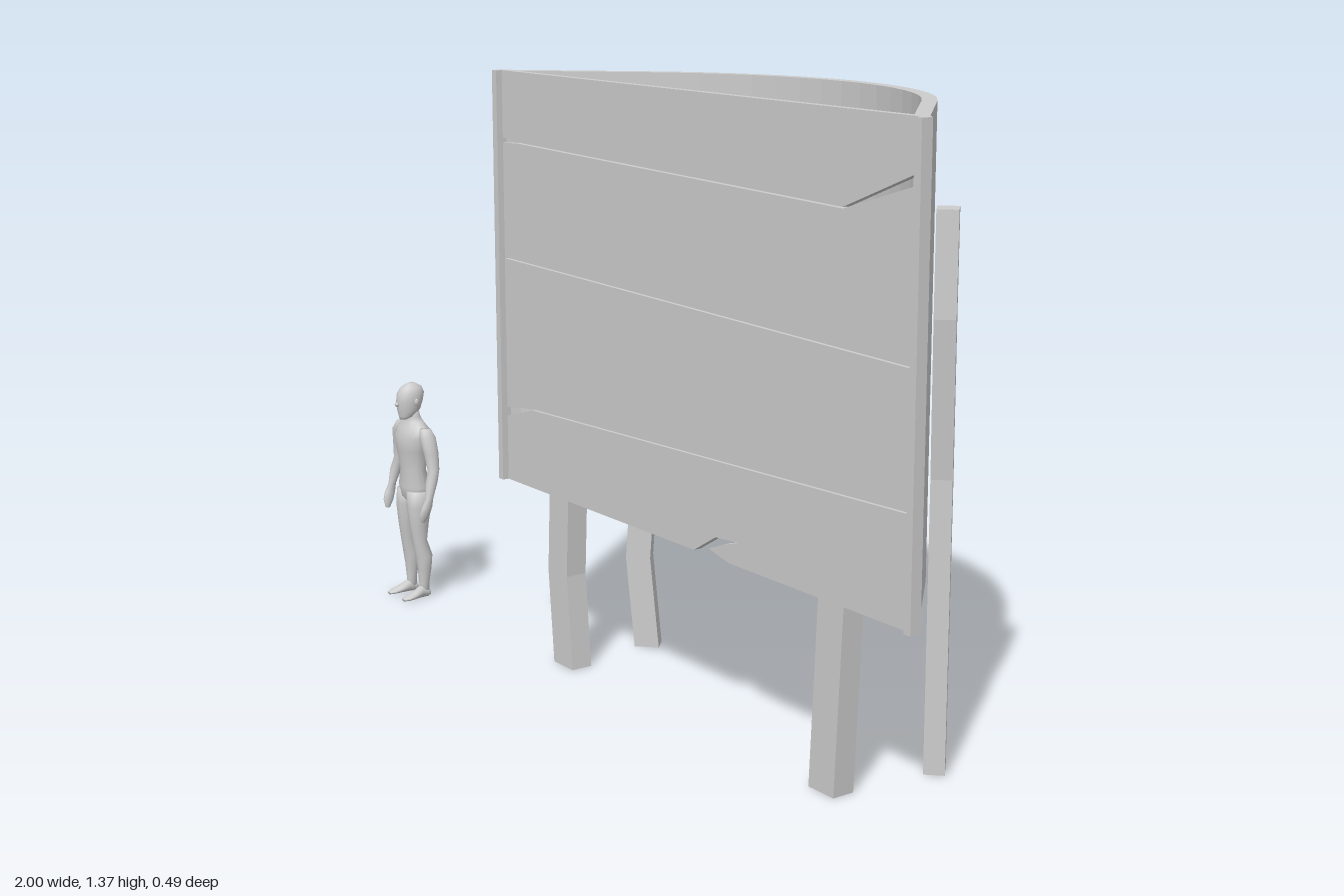
import * as THREE from 'three';

const grey = new THREE.MeshStandardMaterial({ color: 0xcccccc });
const flat = new THREE.MeshStandardMaterial({ color: 0xcccccc, flatShading: true });

function add(parent, name, geometry, material = flat, x = 0, y = 0, z = 0) {
  const mesh = new THREE.Mesh(geometry, material);
  mesh.name = name;
  mesh.position.set(x, y, z);
  parent.add(mesh);
  return mesh;
}

// Smooth body from elliptical rings listed bottom to top: [y, rx, rz, x, z]
function loft(rings, sides = 16) {
  const pos = [], index = [];
  const first = rings[0], last = rings[rings.length - 1];
  const all = [[first[0], 0, 0, first[3], first[4]], ...rings, [last[0], 0, 0, last[3], last[4]]];
  for (const [y, rx, rz, x = 0, z = 0] of all)
    for (let j = 0; j < sides; j++) {
      const a = (j / sides) * Math.PI * 2;
      pos.push(x + rx * Math.cos(a), y, z + rz * Math.sin(a));
    }
  for (let i = 0; i < all.length - 1; i++)
    for (let j = 0; j < sides; j++) {
      const k = (j + 1) % sides;
      const a = i * sides + j, b = i * sides + k, c = a + sides, d = b + sides;
      index.push(a, c, b, b, c, d);
    }
  const g = new THREE.BufferGeometry();
  g.setAttribute('position', new THREE.Float32BufferAttribute(pos, 3));
  g.setIndex(index);
  g.computeVertexNormals();
  return g;
}

// Crooked square post: each row of the box moves to a [height, sideways shift]
function crookedPost(width, depth, rows) {
  const n = rows.length - 1;
  const g = new THREE.BoxGeometry(width, 1, depth, 1, n, 1);
  const p = g.attributes.position;
  for (let i = 0; i < p.count; i++) {
    const [y, shift] = rows[Math.round((p.getY(i) + 0.5) * n)];
    p.setXYZ(i, p.getX(i) + shift, y, p.getZ(i));
  }
  return g;
}

const LOW = 0.41, TOP = 1.365, MID_X = 0.28;

function curvedWall() {
  // Outline on plan: straight wings joined by an arc of a quarter circle
  const cz = 0.427, steps = 16;
  const line = (r, endX, endZ) => {
    const pts = [new THREE.Vector2(MID_X - endX, -endZ)];
    for (let i = 0; i <= steps; i++) {
      const a = -Math.PI / 4 + (i / steps) * Math.PI / 2;
      pts.push(new THREE.Vector2(MID_X + r * Math.sin(a), r * Math.cos(a) - cz));
    }
    pts.push(new THREE.Vector2(MID_X + endX, -endZ));
    return pts;
  };
  const outline = [...line(0.672, 0.712, 0.19), ...line(0.642, 0.664, 0.183).reverse()];
  const g = new THREE.ExtrudeGeometry(new THREE.Shape(outline), { depth: TOP - LOW, bevelEnabled: false });
  return g.rotateX(-Math.PI / 2).translate(0, LOW, 0);
}

// Plank between two edges, both listed left to right
function plank(lower, upper) {
  const pts = [...lower, ...[...upper].reverse()].map(([x, y]) => new THREE.Vector2(x, y));
  return new THREE.ExtrudeGeometry(new THREE.Shape(pts), { depth: 0.018, bevelEnabled: false });
}

function frontBoards() {
  const boards = new THREE.Group();
  boards.name = 'frontBoards';
  const L = -0.428, R = 0.988;
  const edges = [
    // top board, split at its right end
    [[[L, 1.215], [-0.36, 1.207], [0.77, 1.182], [R, 1.27]], [[L, TOP], [R, TOP]]],
    [[[L, 0.938], [R, 0.911]], [[L, 1.2], [-0.36, 1.204], [0.77, 1.179], [R, 1.247]]],
    [[[L, 0.582], [-0.31, 0.598], [R, 0.639]], [[L, 0.935], [R, 0.908]]],
    // bottom board, with a splinter missing from the lower edge
    [[[L, LOW], [0.31, LOW], [0.385, 0.455], [0.46, 0.46], [0.41, 0.445], [0.36, 0.425], [0.43, LOW], [R, LOW]],
      [[L, 0.56], [-0.31, 0.595], [R, 0.636]]],
  ];
  edges.forEach(([lower, upper], i) => add(boards, `board${i + 1}`, plank(lower, upper), flat, 0, 0, 0.18));
  // Narrow strips covering the board ends
  for (const s of [-1, 1])
    add(boards, 'endTrim', new THREE.BoxGeometry(0.018, TOP - LOW, 0.026), flat, MID_X + s * 0.708, (TOP + LOW) / 2, 0.2);
  return boards;
}

function supports() {
  const posts = new THREE.Group();
  posts.name = 'posts';
  add(posts, 'frontRightPost', crookedPost(0.077, 0.052, [[0, 0], [0.22, -0.02], [0.42, -0.01], [1.16, 0.01]]),
    flat, -0.218, 0, 0.156);
  add(posts, 'frontLeftPost', crookedPost(0.077, 0.052, [[0, 0], [0.42, 0.023], [0.8, 0.05], [1.16, 0.083]]),
    flat, 0.712, 0, 0.156);
  // Back posts stand turned against the wings of the wall
  add(posts, 'backRightPost', crookedPost(0.058, 0.044, [[0, 0], [0.22, -0.02], [0.75, 0.014], [1.163, 0]]),
    flat, -0.227, 0, -0.067).rotation.y = Math.PI / 4;
  add(posts, 'backLeftPost', crookedPost(0.058, 0.044, [[0, 0], [0.62, 0], [0.95, 0.045], [1.163, 0.042]]),
    flat, 0.76, 0, -0.081).rotation.y = -Math.PI / 4;
  return posts;
}

function figure() {
  const man = new THREE.Group();
  man.name = 'standingFigure';
  add(man, 'torso', loft([
    [0.25, 0.02, 0.018], [0.262, 0.044, 0.032, 0, -0.004], [0.29, 0.05, 0.037, 0, -0.004], [0.335, 0.041, 0.029],
    [0.385, 0.052, 0.036], [0.42, 0.062, 0.038], [0.443, 0.058, 0.03, 0, -0.004], [0.458, 0.032, 0.022, 0, -0.004],
    [0.47, 0.02, 0.019, 0, -0.002], [0.495, 0.019, 0.02, 0, 0.003],
  ]), grey);
  add(man, 'head', loft([
    [0.465, 0.01, 0.008, 0, 0.025], [0.472, 0.019, 0.018, 0, 0.016], [0.488, 0.025, 0.03, 0, 0.008],
    [0.51, 0.028, 0.035, 0, 0.005], [0.53, 0.028, 0.036, 0, 0.002], [0.545, 0.021, 0.028], [0.555, 0.007, 0.01],
  ]), grey);
  add(man, 'nose', new THREE.SphereGeometry(0.006, 8, 6), grey, 0, 0.504, 0.041);
  for (const s of [-1, 1]) {
    const ear = add(man, 'ear', new THREE.SphereGeometry(0.009, 8, 6), grey, s * 0.028, 0.51, 0);
    ear.scale.set(0.4, 1, 0.7);
    add(man, 'arm', loft([
      [0.215, 0.004, 0.006, s * 0.09, 0.026], [0.235, 0.008, 0.014, s * 0.093, 0.022],
      [0.255, 0.009, 0.014, s * 0.095, 0.016], [0.275, 0.009, 0.01, s * 0.095, 0.009],
      [0.315, 0.014, 0.015, s * 0.091, -0.001], [0.345, 0.014, 0.015, s * 0.086, -0.01],
      [0.385, 0.017, 0.019, s * 0.078, -0.009], [0.425, 0.019, 0.021, s * 0.069, -0.005],
      [0.446, 0.013, 0.014, s * 0.06, -0.004],
    ]), grey);
    add(man, 'leg', loft([
      [0.008, 0.011, 0.014, s * 0.032, -0.006], [0.035, 0.011, 0.013, s * 0.032, -0.006],
      [0.075, 0.016, 0.018, s * 0.032, -0.008], [0.11, 0.02, 0.022, s * 0.032, -0.007],
      [0.15, 0.017, 0.019, s * 0.03, 0.003], [0.19, 0.022, 0.025, s * 0.028, 0.003],
      [0.24, 0.027, 0.032, s * 0.027, 0.001], [0.28, 0.026, 0.034, s * 0.025, -0.003],
    ]), grey);
    // Foot rings run from heel to toe, then turn to point forward
    add(man, 'foot', loft([
      [-0.022, 0.006, 0.006, s * 0.032, -0.009], [-0.014, 0.011, 0.012, s * 0.032, -0.012],
      [0.004, 0.012, 0.016, s * 0.033, -0.016], [0.028, 0.015, 0.009, s * 0.036, -0.009],
      [0.046, 0.015, 0.006, s * 0.037, -0.006], [0.058, 0.008, 0.004, s * 0.037, -0.004],
    ]).rotateX(Math.PI / 2), grey);
  }
  man.position.set(-0.902, 0, 0.183);
  return man;
}

export function createModel() {
  const model = new THREE.Group();
  model.name = 'boardedStand';
  add(model, 'curvedWall', curvedWall());
  model.add(frontBoards(), supports(), figure());
  return model;
}
